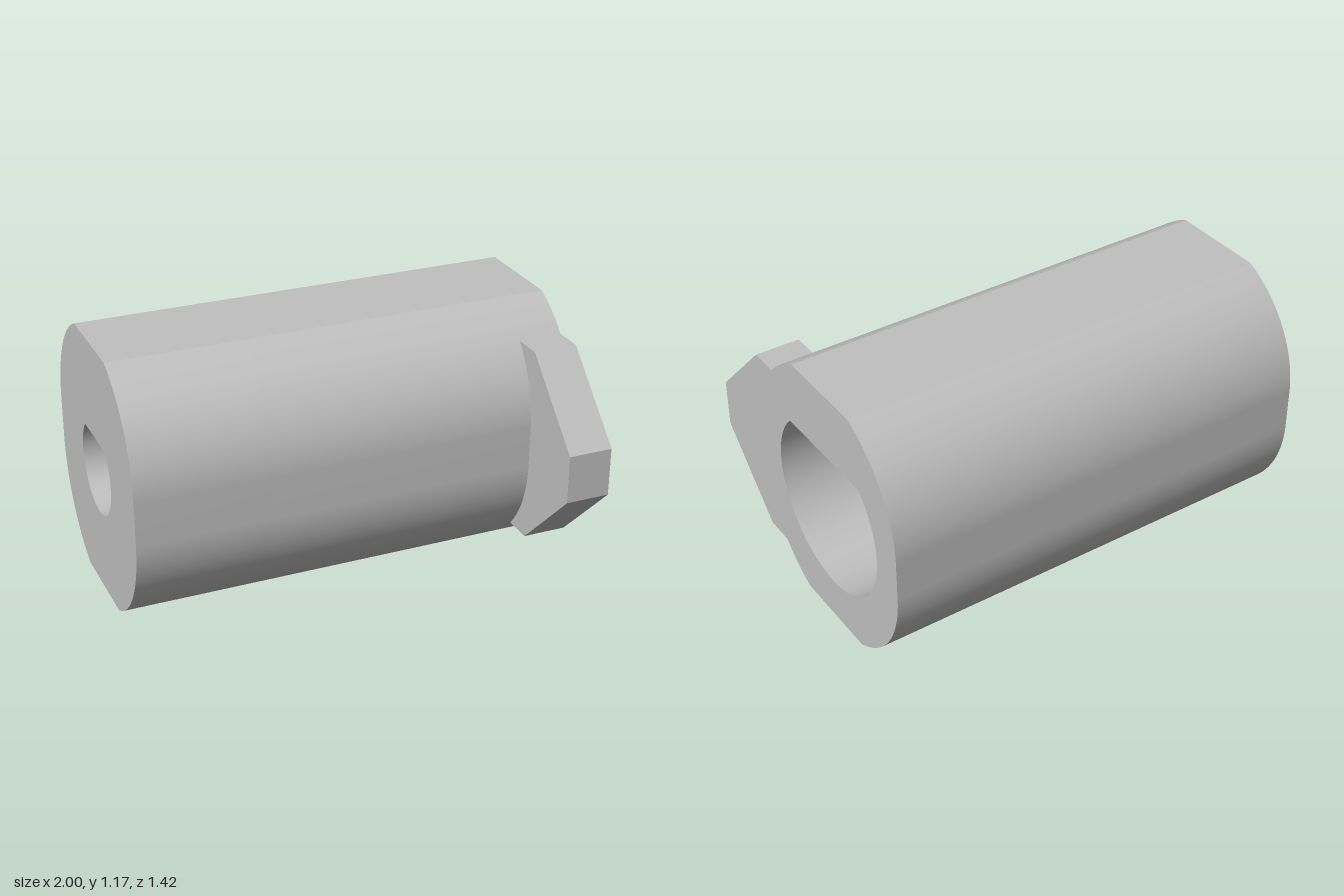
import * as THREE from 'three';
import { toCreasedNormals } from 'three/addons/utils/BufferGeometryUtils.js';

// Profiles are drawn in (u, y) with u = -z, then extruded along x.
const CU = 0.17, CY = 0.585;     // bore axis
const R = 0.54, D = 0.092;       // side arc radius, arc centre offset from the axis
const UP = CY + D, LOW = CY - D;

// Rounded outline with flat top, bottom and sides
function bodyOutline() {
  const a = Math.acos(0.22 / R);
  const s = new THREE.Shape();
  s.moveTo(CU - 0.22, 0);
  s.absarc(CU, LOW, R, -a, 0, false);
  s.absarc(CU, UP, R, 0, a, false);
  s.absarc(CU, UP, R, Math.PI - a, Math.PI, false);
  s.absarc(CU, LOW, R, Math.PI, Math.PI + a, false);
  s.closePath();
  return s;
}

// Round hole with a 45 degree peak
function teardrop(r) {
  const p = new THREE.Path();
  p.moveTo(CU, CY + r * Math.SQRT2);
  p.absarc(CU, CY, r, Math.PI * 0.75, Math.PI * 2.25, false);
  p.closePath();
  return p;
}

// Pointed lug whose inner edge follows the body's side
function lugOutline() {
  const h = 0.45, c = Math.asin((h - D) / R);
  const s = new THREE.Shape();
  s.moveTo(-0.37, CY + h);
  s.lineTo(-0.71, CY + 0.11);
  s.lineTo(-0.71, CY - 0.11);
  s.lineTo(-0.37, CY - h);
  s.absarc(CU, LOW, R, Math.PI + c, Math.PI, true);
  s.absarc(CU, UP, R, Math.PI, Math.PI - c, true);
  s.closePath();
  return s;
}

export function createModel() {
  const group = new THREE.Group();
  const grey = new THREE.MeshStandardMaterial({ color: 0xc0c0c0 });
  grey.name = 'grey';

  function slice(name, shape, x0, x1, hole) {
    if (hole) shape.holes.push(hole);
    const geo = new THREE.ExtrudeGeometry(shape, { depth: x1 - x0, bevelEnabled: false, curveSegments: 32 });
    geo.rotateY(Math.PI / 2);
    geo.translate(x0, 0, 0);
    const mesh = new THREE.Mesh(toCreasedNormals(geo, 0.3), grey);
    mesh.name = name;
    group.add(mesh);
  }

  slice('narrowBoreEnd', bodyOutline(), -1, -0.4, teardrop(0.207));
  slice('wideBoreBarrel', bodyOutline(), -0.4, 1, teardrop(0.39));
  slice('lug', lugOutline(), 0.8, 1);
  return group;
}
